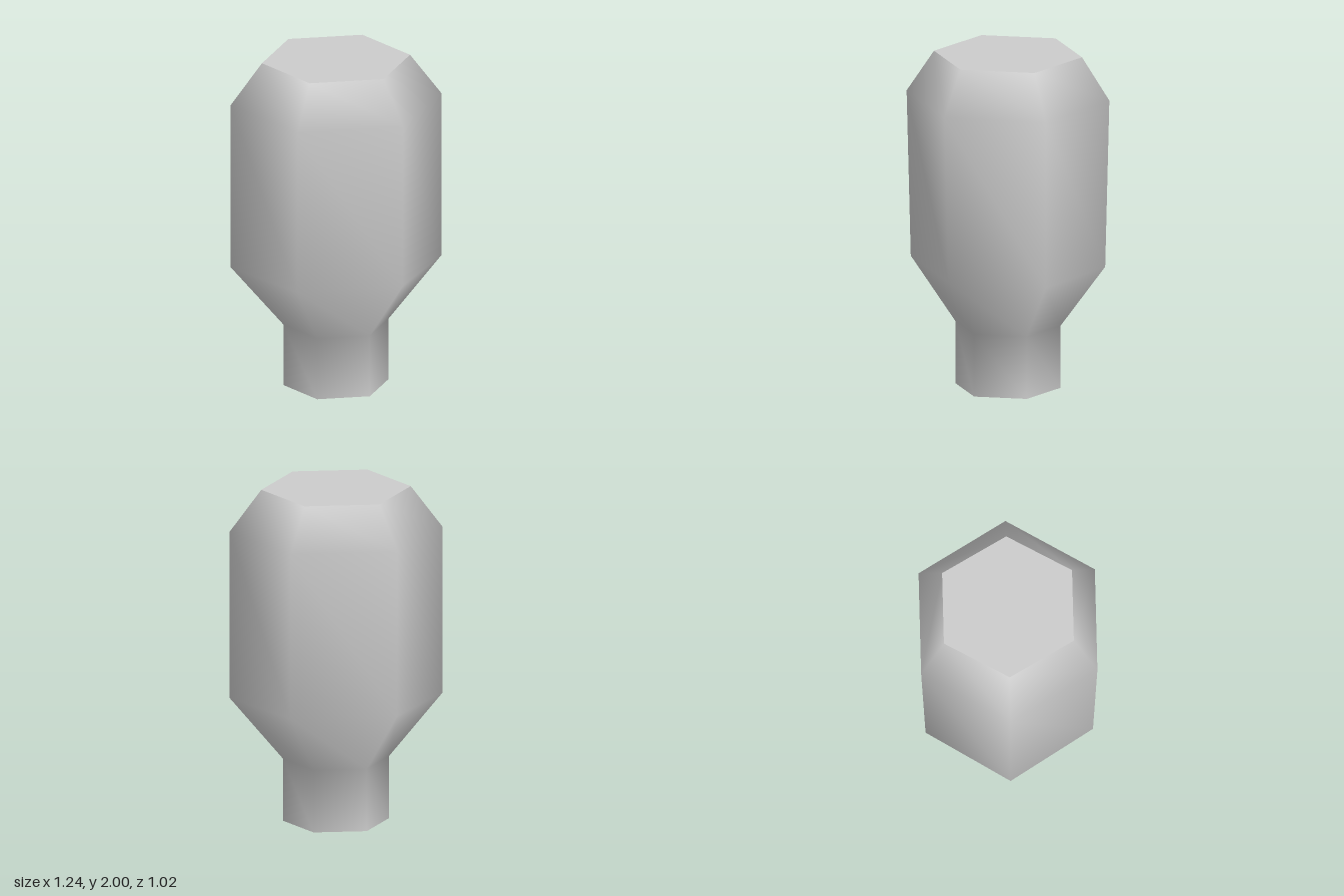
import * as THREE from 'three';
import { mergeVertices } from 'three/addons/utils/BufferGeometryUtils.js';

// Rings from bottom to top: height, radius, depth scale
const RINGS = [
  [0, 0.31, 1],
  [0.375, 0.31, 1],
  [0.75, 0.622, 0.903],
  [1.75, 0.622, 0.951],
  [2, 0.436, 1],
];

export function createModel() {
  const group = new THREE.Group();
  group.name = 'hexagonalPost';
  const grey = new THREE.MeshStandardMaterial({ color: 0xcccccc });
  grey.name = 'light grey';

  const add = (name, geometry) => {
    const mesh = new THREE.Mesh(geometry, grey);
    mesh.name = name;
    group.add(mesh);
    return mesh;
  };

  // Six-sided body, with its wide middle slightly flattened in depth
  const profile = RINGS.map(([y, r]) => new THREE.Vector2(r, y));
  let body = new THREE.LatheGeometry(profile, 6, Math.PI / 2);
  const pos = body.attributes.position;
  for (let i = 0; i < pos.count; i++) {
    pos.setZ(i, pos.getZ(i) * RINGS[i % RINGS.length][2]);
  }
  // Weld the seam so the sides shade smoothly all round
  body.deleteAttribute('uv');
  body.deleteAttribute('normal');
  body = mergeVertices(body, 1e-4);
  body.computeVertexNormals();
  add('body', body);

  // Flat end caps
  const top = add('topCap', new THREE.CircleGeometry(RINGS[4][1], 6));
  top.rotation.x = -Math.PI / 2;
  top.position.y = 2;
  const bottom = add('bottomCap', new THREE.CircleGeometry(RINGS[0][1], 6));
  bottom.rotation.x = Math.PI / 2;

  return group;
}
